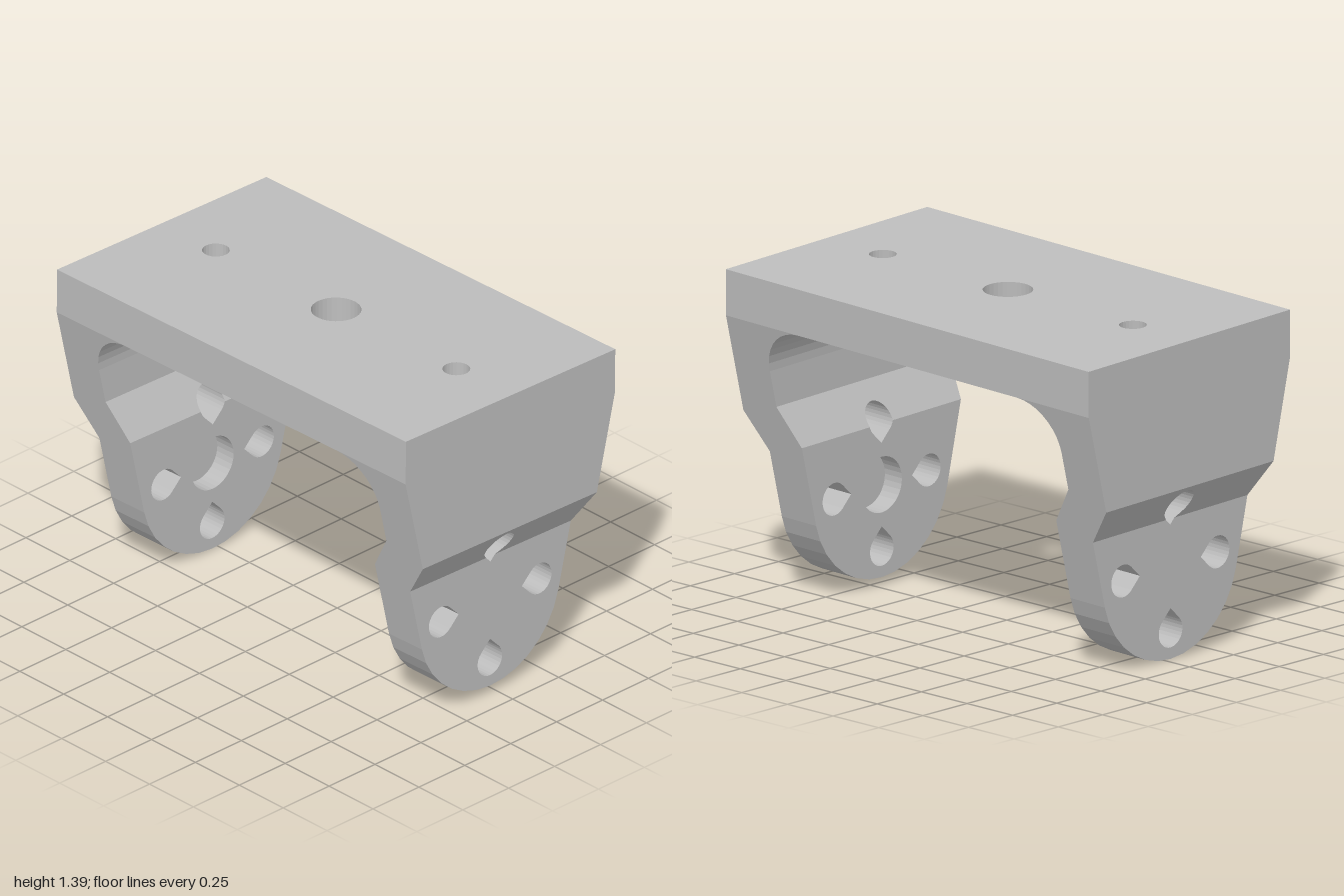
import * as THREE from 'three';

const V = (x, y) => new THREE.Vector2(x, y);
const grey = new THREE.MeshStandardMaterial({ color: 0xbcbcbc });
grey.name = 'plain grey';

// main sizes, measured from the centre of the top face
const HALF_W = 0.57, HALF_L = 0.994, PLATE = 0.19, WALL = 0.8, FILLET = 0.2;
const HUB_Y = -0.953, HUB_R = 0.381;

// point where the tapered side meets the rounded foot
const dx = HALF_W, dy = -PLATE - HUB_Y;
const tangent = Math.atan2(dy, dx) - Math.acos(HUB_R / Math.hypot(dx, dy));
const slope = (HALF_W - HUB_R * Math.cos(tangent)) / (dy - HUB_R * Math.sin(tangent));
const halfWidth = y => HALF_W - Math.max(0, -PLATE - y) * slope;

function arc(cx, cy, r, from, to, n) {
  return Array.from({ length: n + 1 }, (_, i) => {
    const a = from + (to - from) * i / n;
    return V(cx + r * Math.cos(a), cy + r * Math.sin(a));
  });
}
const circle = (cx, cy, r, n = 32) => arc(cx, cy, r, 0, Math.PI * 2, n).slice(0, n);

// round hole with a right-angled point in direction a
function teardrop(cx, cy, r, a) {
  const q = Math.PI / 4, tip = r * Math.SQRT2;
  return [V(cx + tip * Math.cos(a), cy + tip * Math.sin(a)), ...arc(cx, cy, r, a + q, a + 7 * q, 22)];
}

// cut all triangles along planes of one axis so that they can be bent there
function slice(geo, axis, cuts) {
  const p = (geo.index ? geo.toNonIndexed() : geo).attributes.position;
  let tris = [];
  for (let i = 0; i < p.count; i += 3) {
    tris.push([0, 1, 2].map(k => new THREE.Vector3().fromBufferAttribute(p, i + k)));
  }
  for (const c of cuts) {
    const next = [];
    for (const tri of tris) {
      for (const side of [1, -1]) {
        const d = tri.map(v => {
          const e = side * (v[axis] - c);
          return Math.abs(e) < 1e-7 ? 0 : e;
        });
        if (Math.max(...d) <= 0) continue;
        const poly = [];
        for (let i = 0; i < 3; i++) {
          const j = (i + 1) % 3;
          if (d[i] >= 0) poly.push(tri[i]);
          if (d[i] * d[j] < 0) poly.push(tri[i].clone().lerp(tri[j], d[i] / (d[i] - d[j])));
        }
        for (let i = 1; i + 1 < poly.length; i++) next.push([poly[0], poly[i], poly[i + 1]]);
      }
    }
    tris = next;
  }
  return tris;
}

// move every corner by a rule and make a flat-shaded geometry
function bend(tris, rule) {
  const pts = tris.flat().map(v => rule(v.x, v.y, v.z));
  const geo = new THREE.BufferGeometry().setFromPoints(pts);
  geo.computeVertexNormals();
  return geo;
}

function part(name, geo) {
  const mesh = new THREE.Mesh(geo, grey);
  mesh.name = name;
  return mesh;
}

function extrude(points, holes, steps = 1) {
  const shape = new THREE.Shape(points);
  shape.holes = holes.map(h => new THREE.Path(h));
  return new THREE.ExtrudeGeometry(shape, { depth: 1, steps, bevelEnabled: false });
}

const ramp = (y, y0, z0, y1, z1) =>
  z0 + (z1 - z0) * THREE.MathUtils.clamp((y - y0) / (y1 - y0), 0, 1);

// top plate with three holes, its underside curving down into the legs
function plateGeometry() {
  const outline = [V(-HALF_W, -WALL), V(HALF_W, -WALL), V(HALF_W, WALL), V(-HALF_W, WALL)];
  const holes = [circle(0, 0, 0.1), circle(0, 0.685, 0.055, 24), circle(0, -0.685, 0.055, 24)];
  const cuts = [];
  for (let i = 0; i < 9; i++) {
    const z = WALL - FILLET + FILLET * Math.sin(i / 9 * Math.PI / 2);
    cuts.push(z, -z);
  }
  const underside = z => {
    const d = Math.min(FILLET, Math.max(0, Math.abs(z) - WALL + FILLET));
    return -PLATE - FILLET + Math.sqrt(FILLET * FILLET - d * d);
  };
  return bend(slice(extrude(outline, holes, 2), 'y', cuts), (x, z, t) => {
    const y = t < 0.25 ? 0 : t < 0.75 ? -PLATE : underside(z);
    return new THREE.Vector3(Math.abs(x) > 0.5 ? Math.sign(x) * halfWidth(y) : x, y, z);
  });
}

// tapered leg with a joggle, four pointed holes and a round recess
function makeLeg(name) {
  const OUT = [-0.602, HALF_L, -0.757, 0.885], IN = [-0.545, WALL, -0.702, 0.697];
  const outline = [
    V(-HALF_W, 0), V(-HALF_W, -PLATE),
    ...arc(0, HUB_Y, HUB_R, Math.PI - tangent, Math.PI * 2 + tangent, 14),
    V(HALF_W, -PLATE), V(HALF_W, 0),
  ];
  const recess = circle(0, HUB_Y, 0.115);
  const holes = [recess];
  for (let i = 0; i < 4; i++) {
    const a = i * Math.PI / 2;
    holes.push(teardrop(0.267 * Math.cos(a), HUB_Y + 0.267 * Math.sin(a), 0.067, a + Math.PI));
  }
  const cuts = [OUT[0], OUT[2], IN[0], IN[2]];
  const body = bend(slice(extrude(outline, holes), 'y', cuts), (x, y, t) =>
    new THREE.Vector3(x, y, t < 0.5 ? ramp(y, ...IN) : ramp(y, ...OUT)));
  const floor = extrude(recess, []);
  floor.scale(1, 1, 0.095);
  floor.translate(0, 0, OUT[3] - 0.095);
  const leg = new THREE.Group();
  leg.name = name;
  leg.add(part(name + 'Body', body), part(name + 'RecessFloor', floor));
  return leg;
}

export function createModel() {
  const bracket = new THREE.Group();
  bracket.name = 'bracket';
  const front = makeLeg('frontLeg'), back = makeLeg('backLeg');
  back.rotation.y = Math.PI;
  bracket.add(part('topPlate', plateGeometry()), front, back);

  // the whole bracket leans slightly
  bracket.rotation.set(-0.02, 0, -0.026);
  bracket.position.set(0, 1.353, -0.006);

  const model = new THREE.Group();
  model.name = 'mountingBracket';
  model.add(bracket);
  return model;
}
